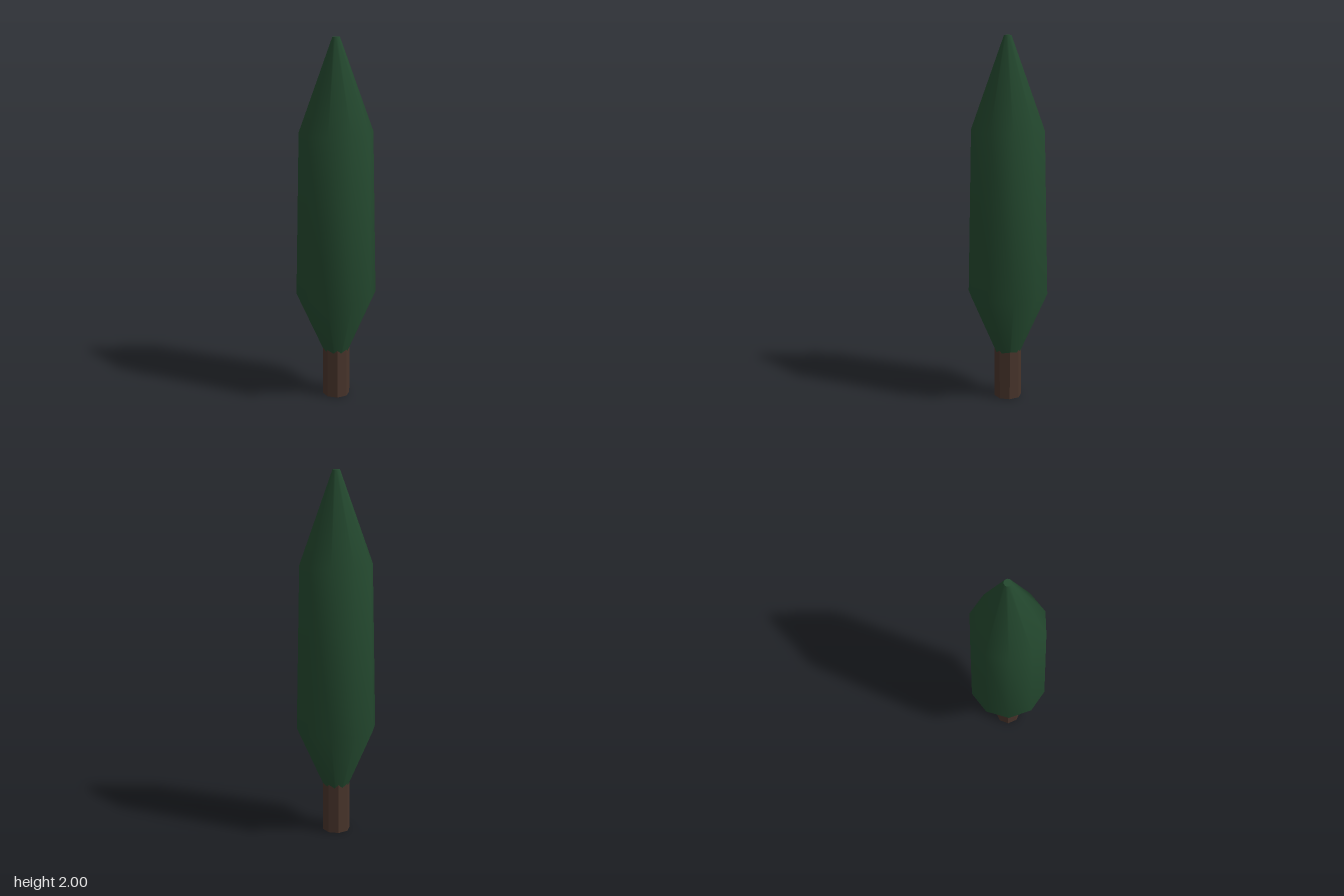
import * as THREE from 'three';

export function createModel() {
  const tree = new THREE.Group();
  tree.name = 'tree';

  const leafGreen = new THREE.MeshStandardMaterial({ color: 0x24492f });
  leafGreen.name = 'leafGreen';
  const barkBrown = new THREE.MeshStandardMaterial({ color: 0x48342b });
  barkBrown.name = 'barkBrown';

  const add = (name, geometry, material, y = 0) => {
    const mesh = new THREE.Mesh(geometry, material);
    mesh.name = name;
    mesh.position.y = y;
    tree.add(mesh);
  };

  // Eight-sided faceted trunk, its top hidden inside the foliage
  const trunk = new THREE.CylinderGeometry(0.075, 0.075, 0.32, 8).toNonIndexed();
  trunk.computeVertexNormals();
  add('trunk', trunk, barkBrown, 0.16);

  // Ten-sided smooth column of foliage, with corners on the x axis
  const profile = [[0.02, 0.15], [0.22, 0.6], [0.2, 1.5], [0.02, 2]]
    .map(([r, y]) => new THREE.Vector2(r, y));
  add('foliage', new THREE.LatheGeometry(profile, 10, Math.PI / 2), leafGreen);

  // Small flat tip
  add('foliageTip', new THREE.CircleGeometry(0.02, 10).rotateX(-Math.PI / 2), leafGreen, 2);

  return tree;
}
